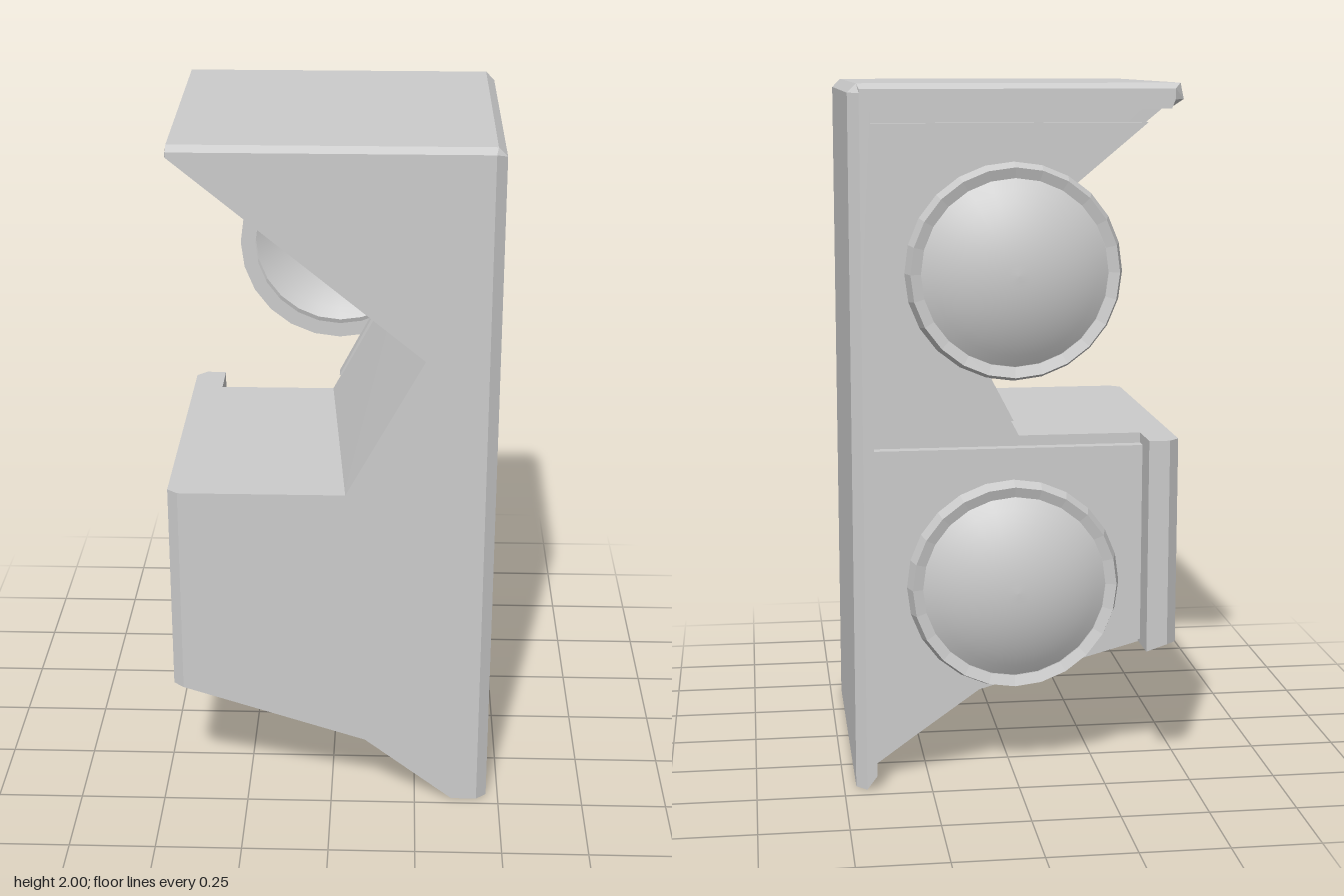
import * as THREE from 'three';

const FRONT = 0.475, BACK = -0.46, DEPTH = FRONT - BACK;
const grey = new THREE.MeshStandardMaterial({ color: 0xcccccc });
const greyThin = new THREE.MeshStandardMaterial({ color: 0xcccccc, side: THREE.DoubleSide });

// Lofts an outline along z. Points are [x, y, dx, dy]; dx and dy are the drift
// from front to back. Sections are [z, bevelled]; a bevelled one is pulled in
// from the outer walls of the housing only.
function loft(outline, sections) {
  const flat = outline.map(([x, y]) => new THREE.Vector2(x, y));
  if (THREE.ShapeUtils.isClockWise(flat)) {
    flat.reverse();
    outline = [...outline].reverse();
  }
  const rings = sections.map(([z, bevelled]) => outline.map(([x, y, dx = 0, dy = 0]) => {
    const t = (FRONT - z) / DEPTH;
    let px = x + dx * t, py = y + dy * t;
    if (bevelled) {
      px = THREE.MathUtils.clamp(px, -0.435, 0.435);
      py = Math.min(py, 1.985);
    }
    return [px, py, z];
  }));
  const pos = [];
  const tri = (a, b, c) => pos.push(...a, ...b, ...c);
  const last = rings[rings.length - 1];
  for (const [a, b, c] of THREE.ShapeUtils.triangulateShape(flat, [])) {
    tri(rings[0][a], rings[0][b], rings[0][c]);
    tri(last[c], last[b], last[a]);
  }
  for (let s = 0; s + 1 < rings.length; s++) {
    const f = rings[s], r = rings[s + 1];
    for (let i = 0; i < f.length; i++) {
      const j = (i + 1) % f.length;
      tri(f[i], r[i], f[j]);
      tri(f[j], r[i], r[j]);
    }
  }
  const g = new THREE.BufferGeometry();
  g.setAttribute('position', new THREE.Float32BufferAttribute(pos, 3));
  g.computeVertexNormals();
  return g;
}

// Round lamp: sloped rim and a shallow dome, facing the back
function lamp(y) {
  const group = new THREE.Group();
  group.name = 'lamp';
  const v = (r, z) => new THREE.Vector2(r, z);
  const rim = new THREE.Mesh(
    new THREE.LatheGeometry([v(0.265, 0.36), v(0.31, 0.36), v(0.295, 0.41), v(0.265, 0.4)], 24), greyThin);
  rim.name = 'lampRim';
  rim.geometry = rim.geometry.toNonIndexed();
  rim.geometry.computeVertexNormals();

  const R = 0.475, dome = [];
  for (let i = 0; i <= 8; i++) {
    const r = 0.265 * (1 - i / 8);
    dome.push(v(r, 0.475 - R + Math.sqrt(R * R - r * r)));
  }
  const lens = new THREE.Mesh(new THREE.LatheGeometry(dome, 24), greyThin);
  lens.name = 'lampLens';
  group.add(rim, lens);
  group.rotation.x = -Math.PI / 2;
  group.position.y = y;
  return group;
}

export function createModel() {
  const model = new THREE.Group();
  model.name = 'brokenSignalLight';
  const add = (name, outline, sections) => {
    const mesh = new THREE.Mesh(loft(outline, sections), grey);
    mesh.name = name;
    model.add(mesh);
  };

  // Corners shared by the broken pieces
  const notch = [0.26, 1.405, -0.07, 0.01];
  const step = [0.04, 1, -0.07, 0];
  const hub = [-0.08, 0.69];
  const foot = [0.1, 0.2, 0, 0.05];
  const sideCrack = [0.465, 1.36, 0, -0.01];
  const leftCrack = [-0.465, 0.55];
  const lowLeft = [-0.465, 0.37, 0, 0.03];
  const tip = [-0.44, 1.97, -0.025, -0.015];

  // Housing pieces, split along the cracks
  const body = [[FRONT, true], [0.45, false], [-0.33, false]];
  add('topPiece', [[0.44, 2], [0.465, 1.975], sideCrack, notch, tip, [-0.435, 2, -0.02, 0]], body);
  add('sidePiece', [notch, sideCrack, [0.465, 0], [0.36, 0, 0.09, 0], foot, hub, step], body);
  add('upperLeftPiece', [[-0.465, 1], leftCrack, hub, step], body);
  add('lowerLeftPiece', [leftCrack, lowLeft, foot, hub], body);

  // Raised frame round the lamp recess
  const frame = [[-0.33, false], [-0.43, false], [BACK, true]];
  add('topFrame', [[0.44, 2], [0.465, 1.975], sideCrack, [0.405, 1.363, 0, -0.01],
    [0.405, 1.93], [-0.425, 1.93], tip, [-0.435, 2, -0.02, 0]], frame);
  add('sideFrame', [sideCrack, [0.465, 0], [0.45, 0], [0.405, 0.04], [0.405, 1.363, 0, -0.01]], frame);
  add('leftFrame', [[-0.465, 1], leftCrack, lowLeft, [-0.375, 0.35, 0, 0.03], [-0.375, 1]], frame);

  // Lamp plates with a groove between them
  const plate = [[-0.32, false], [-0.365, false]];
  add('upperPlate', [[0.405, 1.89], [-0.38, 1.89], [0.19, 1.415], [0, 1.05], [0.405, 1.05]], plate);
  add('lowerPlate', [[0.405, 0.97], [-0.375, 0.97], [-0.375, 0.39], [0.1, 0.255], [0.405, 0.04]], plate);

  for (const y of [1.475, 0.57]) model.add(lamp(y));
  return model;
}
